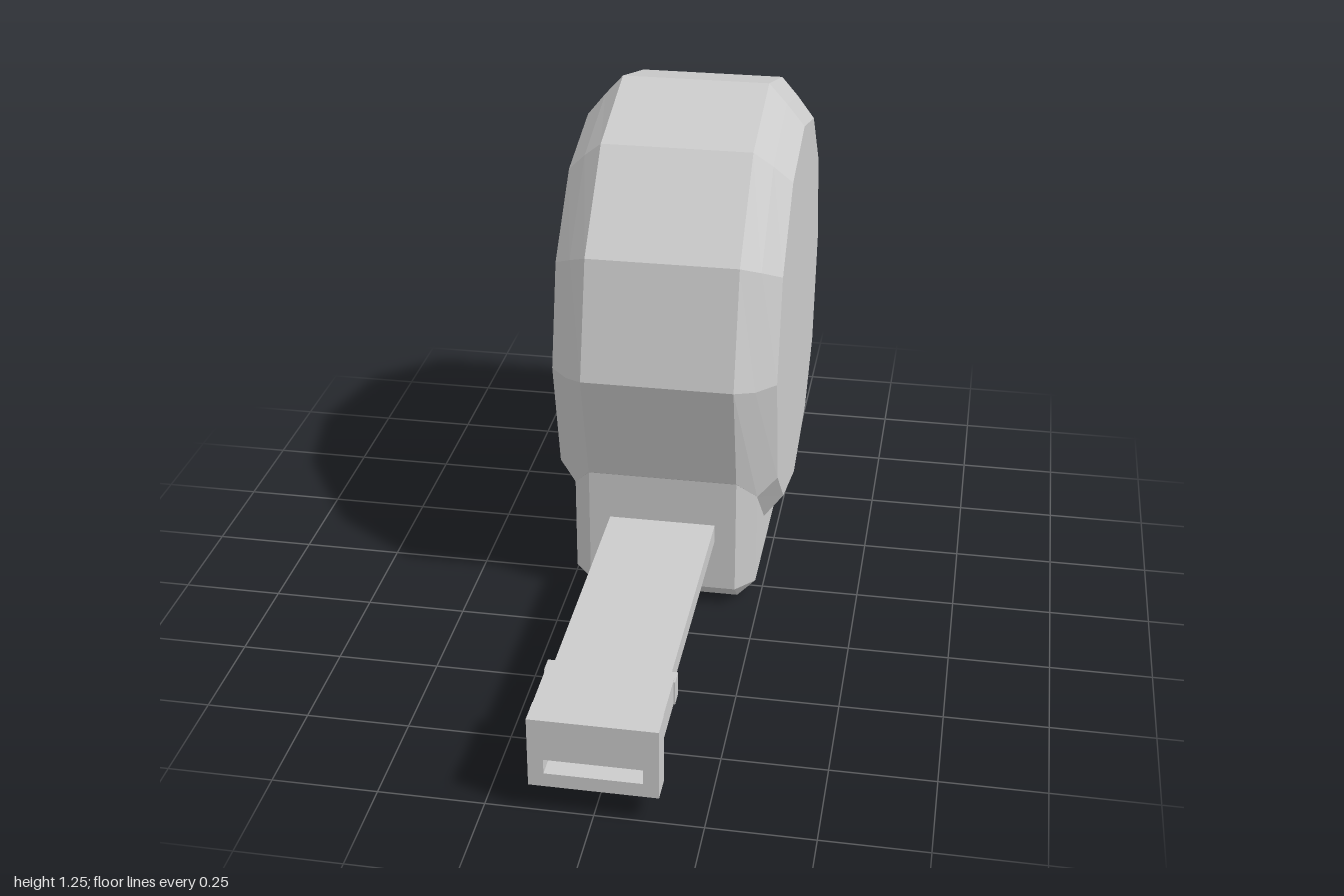
import * as THREE from 'three';

const CZ = -0.405; // depth of the case centre

const material = new THREE.MeshStandardMaterial({ color: 0xcccccc, flatShading: true });

function addMesh(parent, name, geometry, x = 0, y = 0, z = 0) {
  const mesh = new THREE.Mesh(geometry, material);
  mesh.name = name;
  mesh.position.set(x, y, z);
  parent.add(mesh);
  return mesh;
}

// Skin between closed rings of [x, y, z] points, with both ends capped
function loft(rings) {
  const n = rings[0].length;
  const last = rings.length - 1;
  const out = [];
  const tri = (a, b, c) => out.push(...a, ...b, ...c);
  for (let i = 0; i < last; i++) {
    for (let j = 0; j < n; j++) {
      const k = (j + 1) % n;
      const [a, b, c, d] = [rings[i][j], rings[i][k], rings[i + 1][j], rings[i + 1][k]];
      tri(a, c, b);
      tri(b, c, d);
    }
  }
  for (let j = 1; j < n - 1; j++) {
    tri(rings[0][0], rings[0][j], rings[0][j + 1]);
    tri(rings[last][0], rings[last][j + 1], rings[last][j]);
  }
  const geometry = new THREE.BufferGeometry();
  geometry.setAttribute('position', new THREE.Float32BufferAttribute(out, 3));
  geometry.computeVertexNormals();
  return geometry;
}

// Front half of a ring, bottom to top as [depth, height], mirrored to the back
function caseRing(x, half) {
  const back = half.slice(1, -1).reverse().map(([d, y]) => [-d, y]);
  return [...half, ...back].map(([d, y]) => [x, y, CZ + d]);
}

// Octagon with cut corners, clockwise seen from above at the front
function baseRing(x, xCut, z, zCut, ySide, yEnd) {
  return [
    [xCut, yEnd, z], [-xCut, yEnd, z], [-x, ySide, zCut], [-x, ySide, -zCut],
    [-xCut, yEnd, -z], [xCut, yEnd, -z], [x, ySide, -zCut], [x, ySide, zCut],
  ].map(([px, py, pz]) => [px, py, pz + CZ]);
}

export function createModel() {
  const model = new THREE.Group();
  model.name = 'tapeMeasure';

  // Twelve-sided case with a two-step bevel
  const rim = [];
  for (let i = -3; i <= 3; i++) {
    const a = (i * Math.PI) / 6;
    rim.push([0.592 * Math.cos(a), 0.66 + 0.592 * Math.sin(a)]);
  }
  const bevel = [[0, 0.07], [0.295, 0.15], [0.457, 0.3], [0.54, 0.642], [0.468, 0.93], [0.27, 1.13], [0, 1.2]];
  const face = [[0, 0.127], [0.265, 0.2], [0.418, 0.34], [0.486, 0.64], [0.418, 0.9], [0.242, 1.08], [0, 1.142]];
  const rings = [
    [-0.284, face], [-0.237, bevel], [-0.19, rim],
    [0.19, rim], [0.237, bevel], [0.284, face],
  ].map(([x, half]) => caseRing(x, half));
  addMesh(model, 'case', loft(rings));

  // Foot block with cut corners and a chamfered underside
  addMesh(model, 'base', loft([
    baseRing(0.19, 0.19, 0.458, 0.458, 0, 0),
    baseRing(0.237, 0.19, 0.511, 0.458, 0.05, 0.05),
    baseRing(0.237, 0.19, 0.511, 0.458, 0.3, 0.364),
  ]));

  // Blade pulled out of the case
  addMesh(model, 'blade', new THREE.BoxGeometry(0.272, 0.048, 0.78), 0, 0.213, 0.41);

  // End hook: collar, top plate and slotted lip
  const hook = new THREE.Group();
  hook.name = 'endHook';
  model.add(hook);
  addMesh(hook, 'hookCollar', new THREE.BoxGeometry(0.302, 0.06, 0.04), 0, 0.211, 0.785);
  addMesh(hook, 'hookPlate', new THREE.BoxGeometry(0.294, 0.065, 0.15), 0, 0.2115, 0.865);

  const rect = (Type, x, y0, y1) => new Type([[-x, y0], [x, y0], [x, y1], [-x, y1]]
    .map(([px, py]) => new THREE.Vector2(px, py)));
  const lip = rect(THREE.Shape, 0.148, 0.067, 0.244);
  lip.holes.push(rect(THREE.Path, 0.112, 0.102, 0.139));
  addMesh(hook, 'hookLip', new THREE.ExtrudeGeometry(lip, { depth: 0.065, bevelEnabled: false }), 0, 0, 0.935);

  return model;
}
